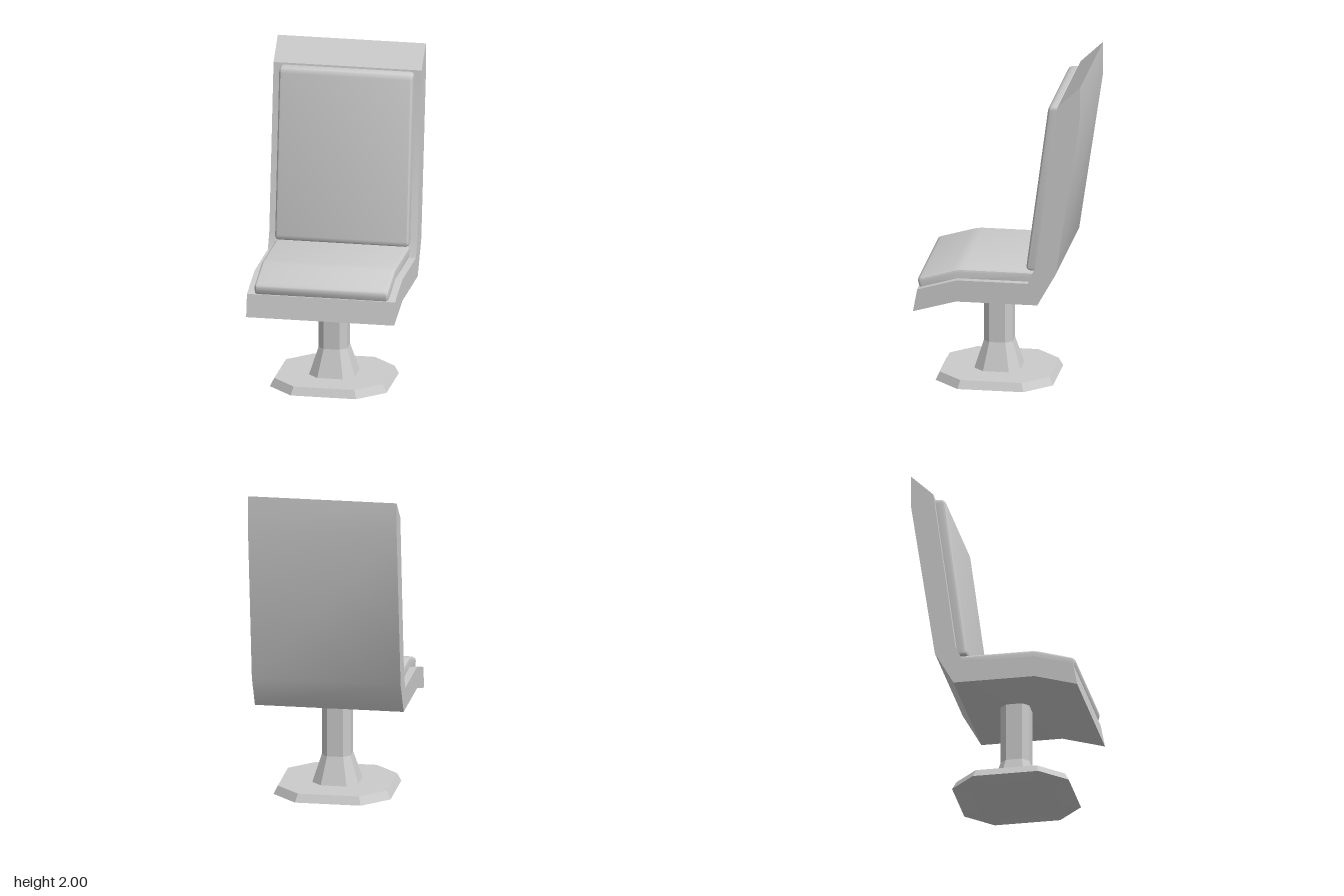
import * as THREE from 'three';
import { toCreasedNormals } from 'three/addons/utils/BufferGeometryUtils.js';
import { ConvexGeometry } from 'three/addons/geometries/ConvexGeometry.js';

const material = new THREE.MeshStandardMaterial({ color: 0xcccccc });

function addMesh(group, name, geometry) {
  const mesh = new THREE.Mesh(geometry, material);
  mesh.name = name;
  group.add(mesh);
}

// Closed [z, y] outline; each corner is rounded by cutting back `trim` along its sides
function outline(points, trim) {
  const p = points.map(([z, y]) => new THREE.Vector2(z, y));
  if (!trim) return new THREE.Shape(p);
  const shape = new THREE.Shape();
  p.forEach((corner, i) => {
    const toward = (q) => q.clone().sub(corner).setLength(trim).add(corner);
    const start = toward(p[(i + p.length - 1) % p.length]);
    const end = toward(p[(i + 1) % p.length]);
    if (i === 0) shape.moveTo(start.x, start.y);
    else shape.lineTo(start.x, start.y);
    shape.quadraticCurveTo(corner.x, corner.y, end.x, end.y);
  });
  shape.closePath();
  return shape;
}

// Side profile extruded across the width, with optional rounded side edges
function acrossWidth(points, width, trim = 0, bevel = 0) {
  const depth = width - 2 * bevel;
  const geometry = new THREE.ExtrudeGeometry(outline(points, trim), {
    depth, steps: 1, curveSegments: 4,
    bevelEnabled: bevel > 0, bevelSize: bevel, bevelThickness: bevel,
    bevelOffset: -bevel, bevelSegments: 3,
  });
  geometry.translate(0, 0, -depth / 2).rotateY(-Math.PI / 2);
  return toCreasedNormals(geometry, 0.5);
}

// Solid through chamfered-square rings given as [half width, y]
function chamferedSolid(rings) {
  const points = [];
  for (const [a, y] of rings) {
    const b = a * 0.56;
    for (const sx of [-1, 1]) for (const sz of [-1, 1]) {
      points.push(new THREE.Vector3(sx * a, y, sz * b), new THREE.Vector3(sx * b, y, sz * a));
    }
  }
  return new ConvexGeometry(points);
}

export function createModel() {
  const model = new THREE.Group();
  model.name = 'pedestalSeat';

  // Bent shell forming seat pan and backrest
  addMesh(model, 'seatShell', acrossWidth([
    [0.513, 0.525], [0.487, 0.665], [0.245, 0.735], [-0.19, 0.735], [-0.237, 0.836],
    [-0.375, 1.87], [-0.512, 2], [-0.512, 1.8], [-0.365, 0.805], [-0.25, 0.6], [0.25, 0.6],
  ], 0.914));

  // Padded cushions, sunk slightly into the shell
  addMesh(model, 'seatCushion', acrossWidth([
    [0.475, 0.64], [0.5, 0.724], [0.245, 0.798], [-0.26, 0.798], [-0.26, 0.7], [0.24, 0.705],
  ], 0.826, 0.035, 0.022));
  addMesh(model, 'backCushion', acrossWidth([
    [-0.17, 0.8], [-0.31, 1.859], [-0.405, 1.859], [-0.265, 0.8],
  ], 0.826, 0.035, 0.022));

  // Pedestal: foot plate, flared collar and column
  const pedestal = new THREE.Group();
  pedestal.name = 'pedestal';
  pedestal.position.z = 0.053;
  addMesh(pedestal, 'footPlate', chamferedSolid([[0.25, 0], [0.36, 0.01], [0.335, 0.06]]));
  addMesh(pedestal, 'flaredCollar', chamferedSolid([[0.143, 0.055], [0.088, 0.23]]));
  addMesh(pedestal, 'column', chamferedSolid([[0.088, 0.23], [0.088, 0.62]]));
  model.add(pedestal);

  return model;
}
